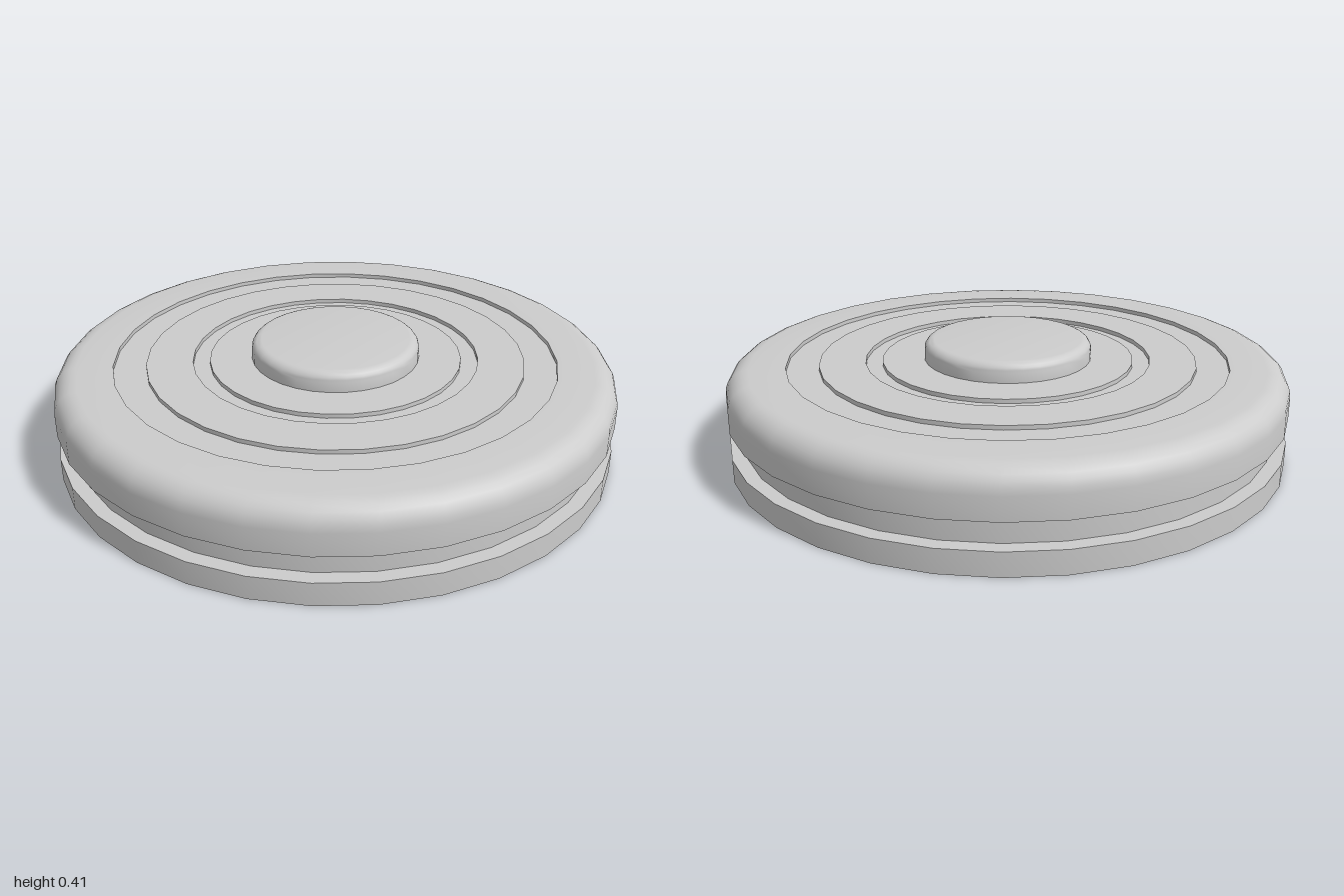
import * as THREE from 'three';
import { toCreasedNormals } from 'three/addons/utils/BufferGeometryUtils.js';

const SIDES = 32;
const material = new THREE.MeshStandardMaterial({ color: 0xcccccc });

// Points of a quarter-round edge ending at outer radius r and height top
function roundedEdge(r, top, fillet, steps = 6) {
  return Array.from({ length: steps + 1 }, (_, i) => {
    const a = (i / steps) * Math.PI / 2;
    return [r - fillet + fillet * Math.cos(a), top - fillet + fillet * Math.sin(a)];
  });
}

// Turned part from a [radius, height] profile, running bottom to top
function turned(name, profile) {
  const points = profile.map(([r, y]) => new THREE.Vector2(r, y));
  const geometry = toCreasedNormals(new THREE.LatheGeometry(points, SIDES), 0.6);
  const mesh = new THREE.Mesh(geometry, material);
  mesh.name = name;
  return mesh;
}

export function createModel() {
  const group = new THREE.Group();
  group.name = 'roundPuck';

  const lidTop = 0.335;
  const grooveFloor = 0.32;

  // Base, recessed waist and lid with two shallow ring grooves
  group.add(turned('body', [
    [0, 0], [1, 0], [1, 0.083],
    [0.95, 0.083], [0.95, 0.175], [1, 0.175],
    ...roundedEdge(1, lidTop, 0.08),
    [0.79, lidTop], [0.79, grooveFloor], [0.675, grooveFloor], [0.675, lidTop],
    [0.51, lidTop], [0.51, grooveFloor], [0.45, grooveFloor], [0.45, lidTop],
    [0, lidTop],
  ]));

  // Raised centre button
  group.add(turned('centreButton', [
    [0.3, lidTop - 0.005],
    ...roundedEdge(0.3, 0.405, 0.035),
    [0, 0.405],
  ]));

  return group;
}
